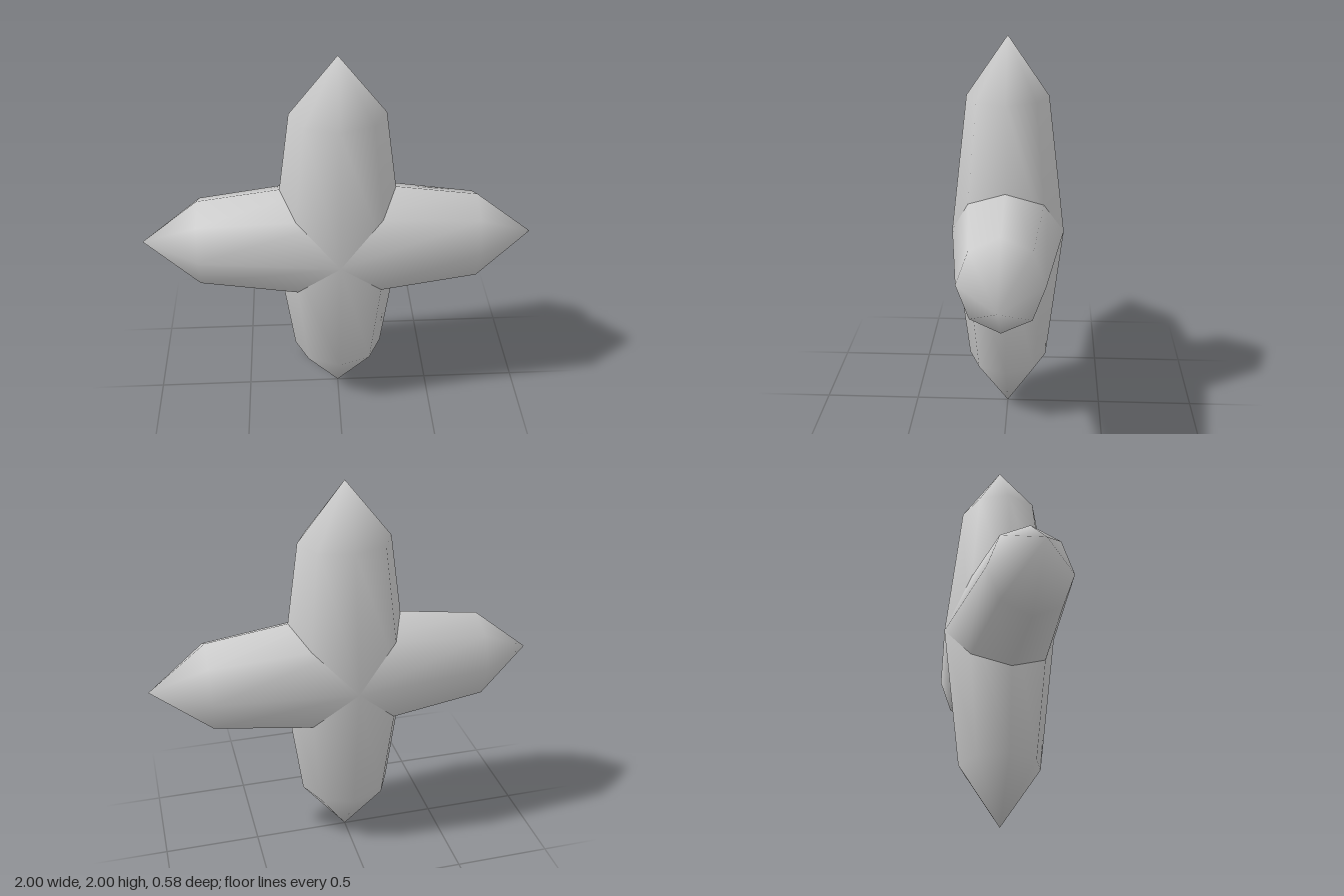
import * as THREE from 'three';

export function createModel() {
  const group = new THREE.Group();
  group.name = 'crossedSpindles';

  const grey = new THREE.MeshStandardMaterial({ color: 0xcccccc });
  grey.name = 'light grey';

  // Eight-sided pointed spindle, slightly flattened front to back
  const spindle = new THREE.SphereGeometry(1, 8, 4);
  spindle.scale(0.332, 1, 0.288);

  // One upright and one level spindle crossing at the centre
  for (const [name, turn] of [['uprightSpindle', 0], ['levelSpindle', Math.PI / 2]]) {
    const mesh = new THREE.Mesh(spindle, grey);
    mesh.name = name;
    mesh.rotation.z = turn;
    mesh.position.y = 1;
    group.add(mesh);
  }
  return group;
}
